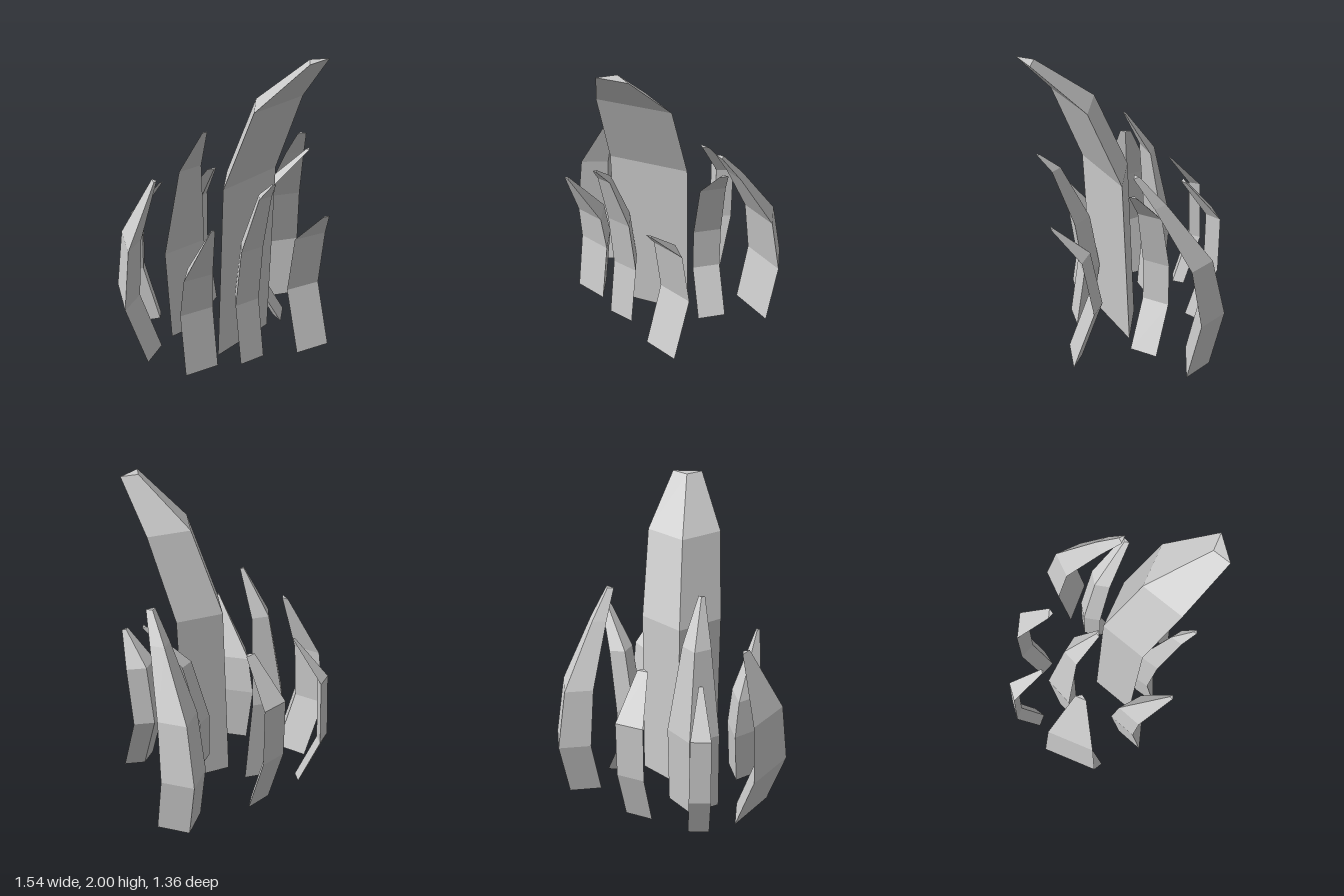
import * as THREE from 'three';

const material = new THREE.MeshStandardMaterial({ color: 0xcccccc, flatShading: true });

// Cross-sections of a shard bending along +z: the foot kicks forward, the knee
// is the rearmost section, and the width shrinks with the forward bend.
function shardLevels({ kick, knee = 0.4, bends, height, reach, tip = 0.2, taper = 1 }) {
  const shrink = (f) => 1 - (1 - tip) * (f / reach) ** taper;
  const upper = [[knee, 0], ...bends, [height, reach]];
  return [[0, kick, 1], ...upper.map(([y, f]) => [y, f, shrink(f)])];
}

// Loft triangles through the levels; the ridge is at the back,
// or on the inner side when flatBack is set.
function shardGeometry(shard) {
  const { w, d, flatBack } = shard;
  const rings = shardLevels(shard).map(([y, f, s]) => (flatBack
    ? [[-w * s, y, f], [0, y, f + d * s], [w * s, y, f]]
    : [[0, y, f], [-w * s, y, f + d * s], [w * s, y, f + d * s]]));
  const pos = [];
  const tri = (a, b, c) => pos.push(...a, ...b, ...c);
  for (let i = 0; i < rings.length - 1; i++) {
    const lo = rings[i], hi = rings[i + 1];
    for (let k = 0; k < 3; k++) {
      const n = (k + 1) % 3;
      tri(lo[k], lo[n], hi[n]);
      tri(lo[k], hi[n], hi[k]);
    }
  }
  const foot = rings[0], top = rings[rings.length - 1];
  tri(foot[0], foot[2], foot[1]);
  tri(top[0], top[1], top[2]);
  const g = new THREE.BufferGeometry();
  g.setAttribute('position', new THREE.Float32BufferAttribute(pos, 3));
  g.computeVertexNormals();
  return g;
}

// x, z: knee anchor; turn: heading in degrees; w, d: half width and depth;
// bends: [height, forward offset] between the knee and the tip
const SHARDS = {
  mainShard: { x: -0.055, z: 0, turn: 0, w: 0.255, d: 0.19, kick: -0.05,
    knee: 1.18, bends: [[1.7, 0.23]], height: 2, reach: 0.61, tip: 0.37, taper: 2 },
  backCentreShard: { x: -0.15, z: -0.4, turn: -7.5, w: 0.168, d: 0.125, kick: 0.05,
    knee: 0.6, bends: [[1.18, 0.13]], height: 1.46, reach: 0.33, tip: 0.12, taper: 0.7 },
  leftOuterShard: { x: 0.72, z: -0.245, turn: -32.7, w: 0.152, d: 0.15, kick: 0.08,
    bends: [[0.79, 0.09], [1.18, 0.38]], height: 1.36, reach: 0.54 },
  leftInnerShard: { x: 0.24, z: -0.07, turn: 32.7, w: 0.093, d: 0.065, kick: 0.18,
    knee: 0.3, bends: [[0.6, 0], [1, 0.11]], height: 1.25, reach: 0.38, tip: 0.3, taper: 1.5 },
  frontLeftShard: { x: 0.235, z: 0.36, turn: -21, w: 0.12, d: 0.07, kick: 0.14,
    bends: [[0.79, 0.07]], height: 0.99, reach: 0.29, taper: 2 },
  frontRightShard: { x: -0.16, z: 0.16, turn: -14.5, w: 0.09, d: 0.13, kick: 0.06,
    bends: [[0.79, 0.06], [1.18, 0.24]], height: 1.29, reach: 0.37, tip: 0.14, taper: 1.3 },
  rightShard: { x: -0.435, z: -0.03, turn: -19, w: 0.115, d: 0.16, kick: 0.06,
    bends: [[0.65, 0.05]], height: 1.04, reach: 0.36, tip: 0.12 },
  rightRearShard: { x: -0.665, z: -0.37, turn: 54.4, w: 0.18, d: 0.12, kick: 0.13,
    bends: [[0.79, 0.04]], height: 1.18, reach: 0.23, flatBack: true },
  backRightShard: { x: -0.232, z: -0.67, turn: 4, w: 0.068, d: 0.05, kick: 0.14,
    knee: 0.35, bends: [[0.79, 0.02]], height: 1.04, reach: 0.24, flatBack: true },
  backLeftShard: { x: 0.212, z: -0.52, turn: -17, w: 0.092, d: 0.07, kick: 0.12,
    bends: [[0.79, 0]], height: 1.06, reach: 0.22, tip: 0.38, flatBack: true },
};

export function createModel() {
  const model = new THREE.Group();
  model.name = 'shardCluster';
  for (const [name, shard] of Object.entries(SHARDS)) {
    const mesh = new THREE.Mesh(shardGeometry(shard), material);
    mesh.name = name;
    mesh.position.set(shard.x, 0, shard.z);
    mesh.rotation.y = THREE.MathUtils.degToRad(shard.turn);
    model.add(mesh);
  }
  return model;
}
